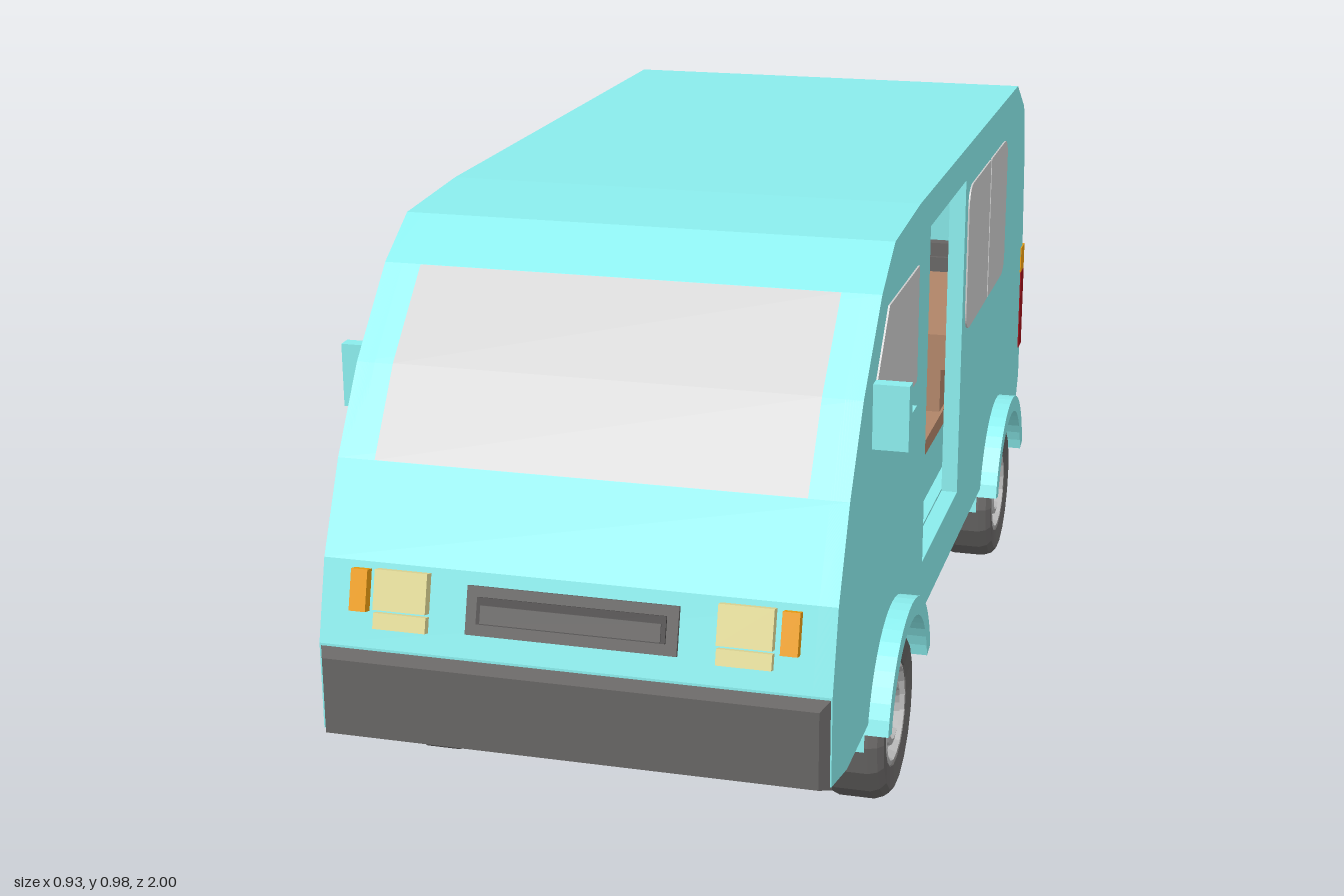
import * as THREE from 'three';

const mat = (color, side = THREE.FrontSide) => new THREE.MeshStandardMaterial({ color, side, flatShading: true });
const paint = mat(0x8aecec, THREE.DoubleSide);
const glass = mat(0xcccccc, THREE.DoubleSide);
const dark = mat(0x666463);
const black = mat(0x484646);
const brown = mat(0xb08468);
const cream = mat(0xe4dc98);
const amber = mat(0xf0a010);
const red = mat(0xa01018);
const metal = mat(0xb4b4b4);

export function createModel() {
  const van = new THREE.Group();

  function add(name, geometry, material, parent = van) {
    const mesh = new THREE.Mesh(geometry, material);
    mesh.name = name;
    parent.add(mesh);
    return mesh;
  }
  // box from its minimum and maximum corners
  function box(name, x0, x1, y0, y1, z0, z1, material, parent = van) {
    const m = add(name, new THREE.BoxGeometry(x1 - x0, y1 - y0, z1 - z0), material, parent);
    m.position.set((x0 + x1) / 2, (y0 + y1) / 2, (z0 + z1) / 2);
    return m;
  }
  // side-on plate: shape drawn in (z, y), filling x0 to x1
  function plate(name, shape, x0, x1, material) {
    const g = new THREE.ExtrudeGeometry(shape, { depth: x1 - x0, bevelEnabled: false, curveSegments: 10 });
    g.rotateY(-Math.PI / 2).translate(x1, 0, 0);
    return add(name, g, material);
  }
  // plate on the outside of one side, from distance a to b off the centre
  const sidePlate = (name, shape, side, a, b, material) =>
    plate(name, shape, side > 0 ? a : -b, side > 0 ? b : -a, material);
  // sheet across the width following a (z, y) profile
  function sheet(name, profile, halfWidth, material) {
    const pos = [];
    for (let i = 0; i < profile.length - 1; i++) {
      const [z0, y0] = profile[i], [z1, y1] = profile[i + 1], w = halfWidth;
      pos.push(-w, y0, z0, w, y0, z0, w, y1, z1, -w, y0, z0, w, y1, z1, -w, y1, z1);
    }
    const g = new THREE.BufferGeometry();
    g.setAttribute('position', new THREE.Float32BufferAttribute(pos, 3));
    g.computeVertexNormals();
    return add(name, g, material);
  }
  const poly = pts => new THREE.Shape(pts.map(p => new THREE.Vector2(p[0], p[1])));
  const rect = (z0, z1, y0, y1) => [[z0, y0], [z1, y0], [z1, y1], [z0, y1]];

  // body shell
  const W = 0.408, axles = [0.51, -0.645], archY = 0.15, archR = 0.168;
  const upper = [[0.86, 0.21], [0.975, 0.235], [0.975, 0.38], [0.94, 0.51], [0.87, 0.65], [0.78, 0.78],
    [0.65, 0.91], [0.55, 0.97], [0.33, 0.982], [-0.81, 0.982], [-0.92, 0.92], [-0.955, 0.81],
    [-0.983, 0.58], [-0.99, 0.30], [-0.95, 0.22], [-0.83, 0.21]];
  sheet('bodySkin', [...upper, upper[0]], W, paint);

  const a = Math.asin((0.21 - archY) / archR);
  for (const s of [1, -1]) {
    const side = new THREE.Shape();
    side.moveTo(-0.83, 0.21);
    for (const [z, y] of upper.slice(0, -1).reverse()) side.lineTo(z, y);
    for (const z of axles) side.absarc(z, archY, archR, a, Math.PI - a, false);
    if (s > 0) side.holes.push(poly(rect(-0.15, 0.225, 0.31, 0.92)));
    sidePlate('sidePanel', side, s, W - 0.03, W, paint);

    // side glass
    sidePlate('cabWindow', poly([[0.34, 0.68], [0.70, 0.68], [0.70, 0.77], [0.60, 0.88], [0.34, 0.88]]), s, W - 0.01, W + 0.003, glass);
    for (const [z0, z1, f] of [[-0.18, -0.44, 1], [-0.67, -0.45, -1]]) {
      const r = 0.045 * f, w = new THREE.Shape();
      w.moveTo(z1, 0.62);
      w.lineTo(z0 - r, 0.62);
      w.quadraticCurveTo(z0, 0.62, z0, 0.665);
      w.lineTo(z0, 0.855);
      w.quadraticCurveTo(z0, 0.90, z0 - r, 0.90);
      w.lineTo(z1, 0.90);
      sidePlate('rearSideWindow', w, s, W - 0.01, W + 0.003, glass);
    }

    // wheel arch flares and inner wells
    for (const z of axles) {
      const flare = new THREE.Shape(), b = 0.22;
      flare.absarc(z, archY, 0.197, b, Math.PI - b, false);
      flare.absarc(z, archY, 0.165, Math.PI - b, b, true);
      sidePlate('archFlare', flare, s, W - 0.01, 0.442, paint);
      const well = new THREE.CylinderGeometry(archR, archR, 0.12, 16, 1, true, 0, Math.PI);
      well.rotateZ(Math.PI / 2);
      add('wheelWell', well, paint).position.set(s * (W - 0.07), archY, z);
      const back = add('wellWall', new THREE.CircleGeometry(archR, 16, 0, Math.PI).rotateY(Math.PI / 2), paint);
      back.position.set(s * (W - 0.13), archY, z);
    }

    // mirror, handle and sill
    const m = s > 0 ? (p, q) => [p, q] : (p, q) => [-q, -p];
    box('mirror', ...m(0.405, 0.465), 0.68, 0.785, 0.685, 0.71, paint);
    box('doorHandle', ...m(0.40, 0.418), 0.622, 0.648, 0.375, 0.47, paint);
    box('sill', ...m(0.22, W), 0.182, 0.215, 0.22, 0.335, paint);

    // front and rear lamps
    const lamps = new THREE.Group();
    lamps.name = 'frontLamps';
    lamps.position.set(0, 0.455, 0.955);
    lamps.rotation.x = -0.27;
    van.add(lamps);
    box('headlight', ...m(0.23, 0.316), -0.015, 0.048, -0.02, 0.018, cream, lamps);
    box('headlightBase', ...m(0.23, 0.316), -0.045, -0.02, -0.02, 0.014, cream, lamps);
    box('frontIndicator', ...m(0.328, 0.355), -0.02, 0.046, -0.02, 0.018, amber, lamps);
    box('tailLight', ...m(0.357, 0.41), 0.37, 0.545, -1, -0.96, red);
    box('rearIndicator', ...m(0.357, 0.41), 0.545, 0.60, -0.998, -0.95, amber);
  }

  // windscreen and rear window
  sheet('windscreen', [[0.874, 0.652], [0.785, 0.783], [0.655, 0.911]], 0.345, glass);
  sheet('rearWindow', [[-0.982, 0.63], [-0.960, 0.81], [-0.934, 0.895]], 0.325, glass);

  // grille
  const grille = new THREE.Group();
  grille.name = 'grille';
  grille.position.set(0, 0.453, 0.955);
  grille.rotation.x = -0.27;
  van.add(grille);
  box('grillePanel', -0.168, 0.168, -0.038, 0.038, -0.01, 0.007, dark, grille);
  box('grilleSlot', -0.15, 0.15, -0.02, 0.022, -0.01, 0.011, black, grille);
  box('grilleBar', -0.143, 0.143, -0.018, 0.01, -0.01, 0.014, dark, grille);

  // front bumper with a chamfered face
  const bumper = new THREE.BoxGeometry(0.816, 0.15, 0.03);
  const bp = bumper.attributes.position;
  for (let i = 0; i < bp.count; i++) if (bp.getZ(i) > 0) bp.setXY(i, bp.getX(i) * 0.965, bp.getY(i) * 0.84);
  bumper.computeVertexNormals();
  add('frontBumper', bumper, dark).position.set(0, 0.303, 0.985);

  // tailgate trim
  box('tailPanel', -0.357, 0.357, 0.38, 0.565, -0.994, -0.96, dark);
  box('tailStrip', -0.357, 0.357, 0.57, 0.60, -0.992, -0.95, dark);
  box('plateLamp', -0.04, 0.04, 0.50, 0.56, -1, -0.97, metal);
  box('rearStep', -0.33, 0.33, 0.305, 0.335, -0.995, -0.96, paint);

  // interior seen through the side door
  box('cabinFloor', -0.376, 0.355, 0.40, 0.43, -0.9, 0.35, brown);
  box('stepRiser', 0.335, 0.355, 0.22, 0.425, -0.45, 0.35, paint);
  box('stepFloor', 0.34, 0.376, 0.29, 0.31, -0.3, 0.35, paint);
  box('sideBenchBase', -0.376, -0.22, 0.43, 0.52, -0.8, 0.35, brown);
  box('sideBenchSeat', -0.376, -0.2, 0.525, 0.595, -0.8, 0.35, brown);
  box('rearBenchBase', -0.2, 0.35, 0.43, 0.52, -0.7, -0.27, brown);
  box('rearBenchSeat', -0.2, 0.37, 0.525, 0.595, -0.72, -0.24, brown);

  // chassis rails, each with a jog behind the front axle
  for (const s of [1, -1]) {
    const path = [[0.04, 0.62], [0.105, 0.62], [0.105, 0.40], [0.215, 0.24], [0.215, -0.82], [0.15, -0.82], [0.15, 0.22], [0.04, 0.37]];
    const g = new THREE.ExtrudeGeometry(poly(path.map(([x, z]) => [s * x, z])), { depth: 0.035, bevelEnabled: false });
    g.rotateX(Math.PI / 2).translate(0, 0.207, 0);
    add('chassisRail', g, dark);
  }
  const arm = new THREE.ExtrudeGeometry(poly([[-0.33, 0.12], [0.33, 0.12], [0.29, 0.17], [-0.29, 0.17]]), { depth: 0.13, bevelEnabled: false });
  add('frontAxle', arm, dark).position.z = 0.445;
  box('rearAxle', -0.33, 0.33, 0.125, 0.172, -0.68, -0.61, dark);

  // wheels
  const v = (r, h) => new THREE.Vector2(r, h);
  const tyre = new THREE.LatheGeometry([v(0.09, -0.05), v(0.127, -0.054), v(0.139, -0.045), v(0.145, -0.03),
    v(0.145, 0.03), v(0.139, 0.045), v(0.127, 0.054), v(0.09, 0.05), v(0.086, 0.035)], 18);
  const rim = new THREE.LatheGeometry([v(0.001, -0.04), v(0.09, -0.04), v(0.092, 0.046), v(0.08, 0.05), v(0.074, 0.035),
    v(0.058, 0.032), v(0.054, 0.046), v(0.044, 0.048), v(0.04, 0.038), v(0, 0.038)], 18);
  for (const s of [1, -1]) for (const z of axles) {
    const wheel = new THREE.Group();
    wheel.name = 'wheel';
    wheel.position.set(s * 0.369, 0.146, z);
    wheel.rotation.z = -s * Math.PI / 2;
    add('tyre', tyre, dark, wheel);
    add('rim', rim, metal, wheel);
    van.add(wheel);
  }
  return van;
}
